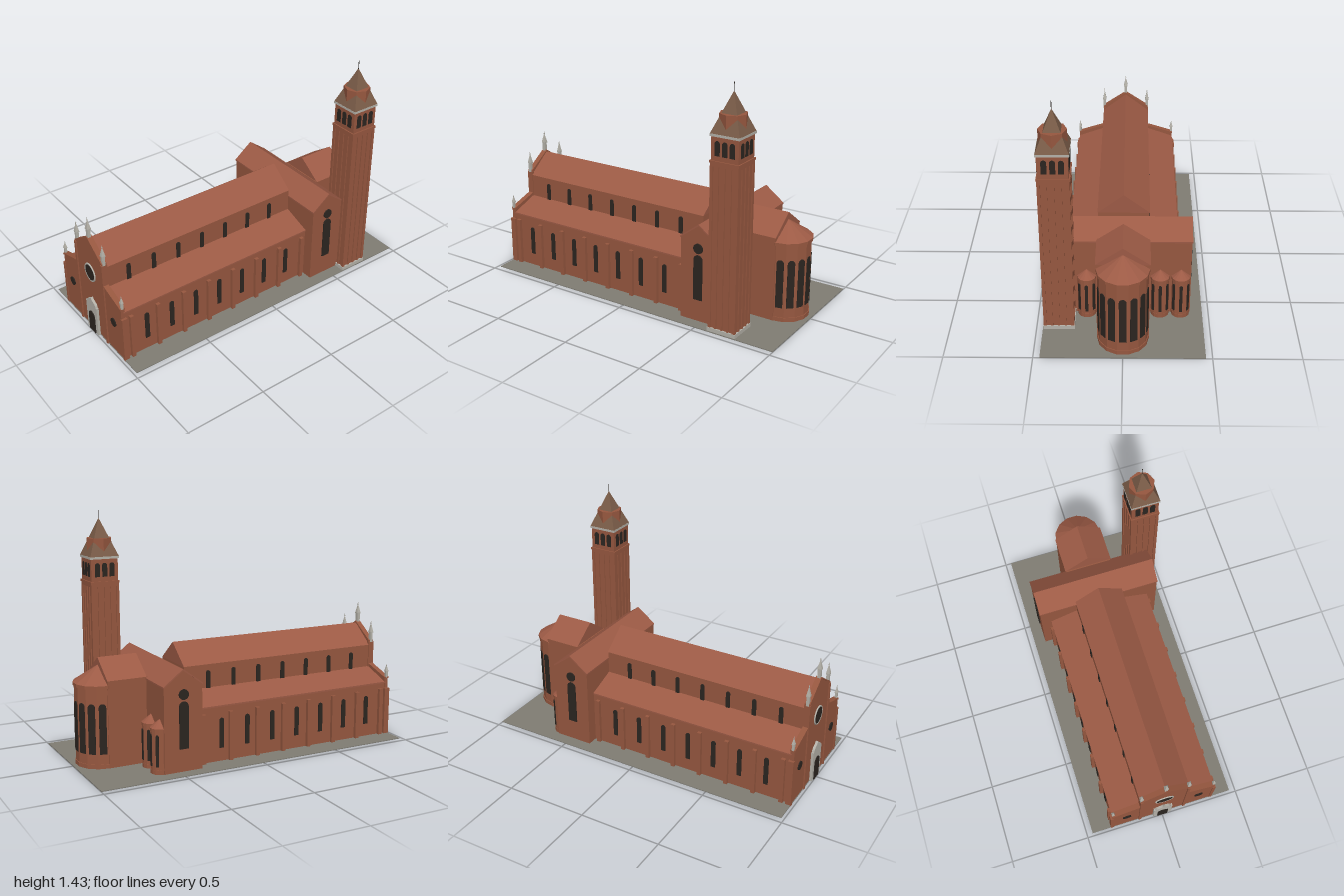
import * as THREE from 'three';

const mat = (color) => new THREE.MeshStandardMaterial({ color, flatShading: true });
const brick = mat(0x96573f), roofTile = mat(0x9c5a45), stone = mat(0xb4b1a8);
const dark = mat(0x2b2520), paving = mat(0x7f7c73), spireTile = mat(0x7a5c48);

export function createModel() {
  const root = new THREE.Group();

  const add = (name, geo, material, parent = root) => {
    const m = new THREE.Mesh(geo, material);
    m.name = name;
    parent.add(m);
    return m;
  };
  // Box given by its min and max corners
  const box = (name, x0, x1, y0, y1, z0, z1, material, parent) => {
    const g = new THREE.BoxGeometry(x1 - x0, y1 - y0, z1 - z0);
    g.translate((x0 + x1) / 2, (y0 + y1) / 2, (z0 + z1) / 2);
    return add(name, g, material, parent);
  };
  // Outline in x-y, extruded from z0 to z1
  const prism = (name, pts, z0, z1, material, parent) => {
    const shape = new THREE.Shape(pts.map(([x, y]) => new THREE.Vector2(x, y)));
    const g = new THREE.ExtrudeGeometry(shape, { depth: z1 - z0, bevelEnabled: false });
    g.translate(0, 0, z0);
    return add(name, g, material, parent);
  };
  // Thin round-headed window or door panel on a wall, facing angle `turn` about y
  const arch = (name, w, y0, y1, x, z, turn, parent, depth = 0.012) => {
    const s = new THREE.Shape(), r = w / 2;
    s.moveTo(-r, y0);
    s.lineTo(r, y0);
    s.lineTo(r, y1 - r);
    s.absarc(0, y1 - r, r, 0, Math.PI, false);
    const g = new THREE.ExtrudeGeometry(s, { depth, bevelEnabled: false, curveSegments: 8 });
    g.translate(0, 0, -depth / 2);
    const m = add(name, g, dark, parent);
    m.position.set(x, 0, z);
    m.rotation.y = turn;
    return m;
  };
  const oculus = (name, r, x, y, z, turn) => {
    const g = new THREE.CylinderGeometry(r, r, 0.012, 24);
    g.rotateX(Math.PI / 2);
    const m = add(name, g, dark);
    m.position.set(x, y, z);
    m.rotation.y = turn;
  };

  // Ground slab
  box('groundSlab', -0.463, 0.463, 0, 0.005, -1, 0.982, paving);

  // Nave with its gabled roof
  box('naveWalls', -0.15, 0.15, 0, 0.55, -0.362, 0.965, brick);
  prism('naveRoof', [[-0.154, 0.547], [0.154, 0.547], [0, 0.668]], -0.363, 0.965, roofTile);

  // Side aisles, buttresses and windows
  for (const s of [-1, 1]) {
    const flip = (pts) => pts.map(([x, y]) => [s * x, y]);
    prism('aisleWalls', flip([[0.14, 0], [0.323, 0], [0.323, 0.335], [0.14, 0.4]]), -0.362, 0.965, brick);
    prism('aisleRoof', flip([[0.15, 0.395], [0.328, 0.332], [0.328, 0.341], [0.15, 0.405]]), -0.362, 0.965, roofTile);
    for (let i = 0; i < 8; i++) {
      const z = 0.92 - i * 0.178;
      const x = s * 0.33;
      box('buttress', x - 0.013, x + 0.013, 0, 0.3, z - 0.012, z + 0.012, brick);
    }
    for (let i = 0; i < 7; i++) {
      const z = 0.815 - i * 0.17;
      arch('aisleWindow', 0.028, 0.085, 0.265, s * 0.323, z, Math.PI / 2);
      arch('clerestoryWindow', 0.026, 0.4, 0.51, s * 0.15, z, Math.PI / 2);
    }
    // Transept end window and oculus
    arch('transeptWindow', 0.056, 0.14, 0.415, s * 0.393, -0.478, Math.PI / 2);
    oculus('transeptOculus', 0.03, s * 0.393, 0.455, -0.478, Math.PI / 2);
  }

  // Transept, ridge running along x
  const transept = new THREE.Group();
  transept.name = 'transept';
  transept.position.z = -0.48;
  transept.rotation.y = Math.PI / 2;
  root.add(transept);
  prism('transeptWalls', [[-0.118, 0], [0.118, 0], [0.118, 0.505], [0, 0.594], [-0.118, 0.505]], -0.391, 0.391, brick, transept);
  for (const s of [-1, 1]) {
    prism('transeptRoof', [[0, 0.592], [s * 0.122, 0.5], [s * 0.122, 0.509], [0, 0.601]], -0.395, 0.395, roofTile, transept);
  }

  // Choir
  box('choirWalls', -0.148, 0.148, 0, 0.52, -0.833, -0.59, brick);
  prism('choirRoof', [[-0.153, 0.517], [0.153, 0.517], [0, 0.626]], -0.835, -0.597, roofTile);

  // Round-plan chapels: faceted wall, eave, cone roof and windows on the back
  const apse = (name, x, z, r, eave, top, sides, windows) => {
    const g = new THREE.Group();
    g.name = name;
    g.position.set(x, 0, z);
    root.add(g);
    const turn = Math.PI / sides;
    const tier = (part, rTop, rBottom, y0, y1, material) => {
      const m = add(part, new THREE.CylinderGeometry(rTop, rBottom, y1 - y0, sides), material, g);
      m.position.y = (y0 + y1) / 2;
      m.rotation.y = turn;
    };
    tier('wall', r * 0.95, r * 0.95, 0, eave, brick);
    tier('plinth', r * 0.98, r * 0.98, 0, 0.03, brick);
    tier('eave', r, r, eave - 0.018, eave, brick);
    tier('roof', 0, r, eave, top, roofTile);
    const apothem = r * 0.95 * Math.cos(turn);
    for (const a of windows.angles) {
      arch('window', windows.w, windows.y0, windows.y1, Math.sin(a) * apothem, -Math.cos(a) * apothem, Math.PI - a, g, 0.008);
    }
  };
  const step = Math.PI / 7;
  apse('mainApse', 0, -0.831, 0.15, 0.49, 0.585, 14,
    { w: 0.042, y0: 0.09, y1: 0.385, angles: [-3, -2, -1, 0, 1, 2, 3].map((i) => i * step) });
  for (const x of [-0.333, -0.213, 0.213]) {
    apse('sideChapel', x, -0.601, 0.055, 0.27, 0.315, 14,
      { w: 0.018, y0: 0.05, y1: 0.235, angles: [-2, 0, 2].map((i) => i * step) });
  }

  // West front: stepped gable wall
  prism('facade', [[-0.326, 0], [0.326, 0], [0.326, 0.37], [0.15, 0.425], [0.15, 0.575], [0, 0.677],
    [-0.15, 0.575], [-0.15, 0.425], [-0.326, 0.37]], 0.955, 0.98, brick);
  for (const s of [-1, 1]) {
    // Pilasters, rakes and aisle oculi
    box('facadePilaster', s * 0.147 - 0.008, s * 0.147 + 0.008, 0, 0.566, 0.95, 0.988, brick);
    box('cornerPilaster', s * 0.331 - 0.01, s * 0.331 + 0.01, 0, 0.3, 0.95, 0.984, brick);
    prism('gableCoping', [[0, 0.67], [s * 0.152, 0.567], [s * 0.152, 0.577], [0, 0.68]], 0.952, 0.985, brick);
    prism('aisleCoping', [[s * 0.15, 0.417], [s * 0.328, 0.362], [s * 0.328, 0.371], [s * 0.15, 0.427]], 0.952, 0.985, brick);
    oculus('facadeOculus', 0.027, s * 0.235, 0.218, 0.98, 0);
  }

  // Rose window
  oculus('roseWindow', 0.052, 0, 0.428, 0.979, 0);
  const rim = add('roseRim', new THREE.TorusGeometry(0.054, 0.006, 6, 32), stone);
  rim.position.set(0, 0.428, 0.981);

  // Portal with ogee head and door
  const ogee = new THREE.Shape();
  ogee.moveTo(-0.06, 0);
  ogee.lineTo(0.06, 0);
  ogee.lineTo(0.06, 0.2);
  ogee.lineTo(0.05, 0.2);
  ogee.bezierCurveTo(0.044, 0.235, 0.012, 0.222, 0, 0.25);
  ogee.bezierCurveTo(-0.012, 0.222, -0.044, 0.235, -0.05, 0.2);
  ogee.lineTo(-0.06, 0.2);
  const portal = add('portal', new THREE.ExtrudeGeometry(ogee, { depth: 0.02, bevelEnabled: false }), stone);
  portal.position.z = 0.975;
  arch('door', 0.066, 0, 0.145, 0, 0.994, 0);

  // Stone pinnacles on the facade
  const pinnacle = (x, y, h, w) => {
    const profile = [[0, 0], [0.6, 0], [0.6, 0.42], [0.78, 0.42], [0.78, 0.46], [0.12, 0.82], [0.2, 0.86], [0.08, 0.9], [0, 1]]
      .map(([r, t]) => new THREE.Vector2(r * w, t * h));
    const m = add('pinnacle', new THREE.LatheGeometry(profile, 4, Math.PI / 4), stone);
    m.position.set(x, y, 0.97);
  };
  pinnacle(0, 0.668, 0.14, 0.023);
  for (const s of [-1, 1]) {
    pinnacle(s * 0.147, 0.564, 0.143, 0.021);
    pinnacle(s * 0.322, 0.368, 0.092, 0.017);
  }

  // Bell tower
  const tower = new THREE.Group();
  tower.name = 'bellTower';
  tower.position.set(0.369, 0, -0.671);
  root.add(tower);
  const tier = (name, half, y0, y1, material) => box(name, -half, half, y0, y1, -half, half, material, tower);
  tier('towerPlinth', 0.091, 0, 0.028, stone);
  tier('towerShaft', 0.081, 0.028, 1.0, brick);
  tier('shaftBand', 0.088, 0.982, 1.0, brick);
  tier('belfrySill', 0.091, 1.0, 1.014, brick);
  tier('belfry', 0.084, 1.014, 1.15, brick);
  tier('belfryCornice', 0.091, 1.148, 1.162, stone);
  for (let k = 0; k < 4; k++) {
    const side = new THREE.Group();
    side.name = 'towerSide';
    side.rotation.y = k * Math.PI / 2;
    tower.add(side);
    for (let i = -2; i <= 2; i++) {
      const x = i * 0.0395, w = Math.abs(i) === 2 ? 0.009 : 0.006;
      box('pilasterStrip', x - w, x + w, 0.028, 0.985, 0.075, 0.088, brick, side);
    }
    for (let i = -1; i <= 1; i++) {
      arch('belfryOpening', 0.031, 1.042, 1.125, i * 0.046, 0.084, 0, side, 0.006);
    }
  }

  // Spire: square pyramid cut by an octagonal drum, with a rod on top
  const spire = add('spire', new THREE.ConeGeometry(0.09 * Math.SQRT2, 0.225, 4), spireTile, tower);
  spire.rotation.y = Math.PI / 4;
  spire.position.y = 1.2735;
  const drum = add('spireDrum', new THREE.CylinderGeometry(0.078, 0.078, 0.1, 8), brick, tower);
  drum.position.y = 1.218;
  const rod = add('spireRod', new THREE.CylinderGeometry(0.002, 0.002, 0.06, 6), dark, tower);
  rod.position.y = 1.402;

  return root;
}
